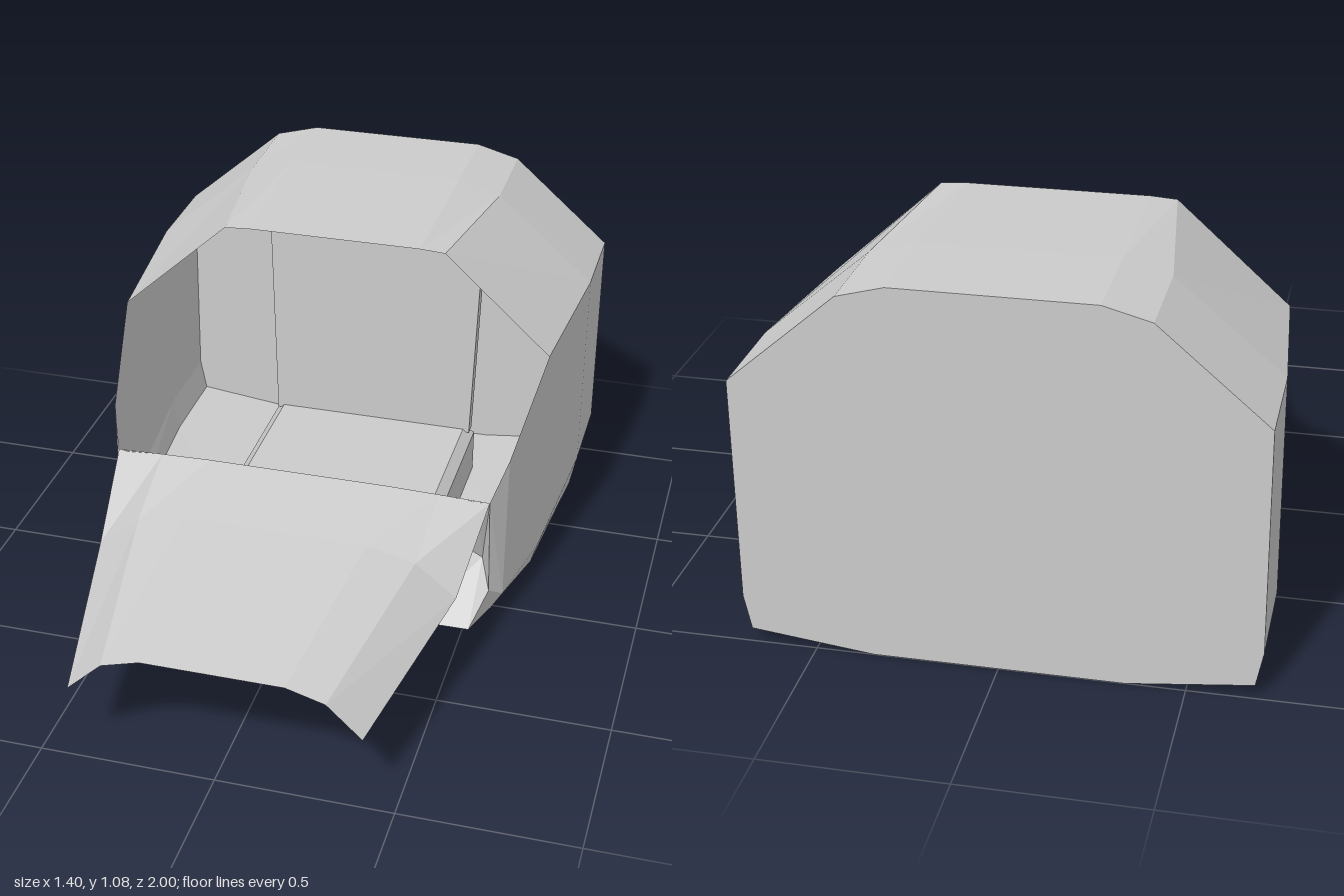
import * as THREE from 'three';

const material = new THREE.MeshStandardMaterial({ color: 0xcccccc, flatShading: true, side: THREE.DoubleSide });

// Flat-shaded surface through rows of [x, y, z] points
function sheet(name, rows) {
  const pos = [];
  for (let r = 0; r < rows.length - 1; r++) {
    for (let c = 0; c < rows[r].length - 1; c++) {
      const p = rows[r][c], q = rows[r][c + 1], s = rows[r + 1][c + 1], t = rows[r + 1][c];
      pos.push(...p, ...q, ...s, ...p, ...s, ...t);
    }
  }
  const geometry = new THREE.BufferGeometry();
  geometry.setAttribute('position', new THREE.Float32BufferAttribute(pos, 3));
  geometry.computeVertexNormals();
  const mesh = new THREE.Mesh(geometry, material);
  mesh.name = name;
  return mesh;
}

const flip = ([x, y, z]) => [-x, y, z];
const mirrorRow = (row) => row.map(flip).reverse();
// Full-width row, from -x to +x, out of its +x half
const fullRow = (half) => [...mirrorRow(half), ...half];
const atZ = (z, pts) => pts.map(([x, y]) => [x, y, z]);

export function createModel() {
  const model = new THREE.Group();
  model.name = 'cabin';

  // Hull side sections: floor edge, lower chamfer, sill, shoulder
  const rear = [[0.34, 0], [0.68, 0.04], [0.7, 0.14], [0.7, 0.78]];
  const sides = [
    atZ(-1, rear),
    atZ(-0.775, rear),
    atZ(-0.7, rear),
    atZ(-0.21, [[0.34, 0], [0.64, 0.04], [0.66, 0.11], [0.657, 0.763]]),
    atZ(0.07, [[0.34, 0.033], [0.57, 0.042], [0.603, 0.1], [0.603, 0.56]]),
    [[0.34, 0.052, 0.215], [0.53, 0.05, 0.21], [0.57, 0.14, 0.125], [0.565, 0.46, 0.15]],
  ];
  model.add(sheet('leftSide', sides));
  model.add(sheet('rightSide', sides.map(mirrorRow)));

  // Roof over the rear half
  const roof = [
    atZ(-1, [[0.27, 1.075], [0.4, 1.04], [0.7, 0.78]]),
    atZ(-0.7, [[0.27, 1.075], [0.4, 1.038], [0.7, 0.78]]),
    atZ(-0.21, [[0.26, 1.06], [0.335, 1.055], [0.657, 0.763]]),
  ];
  model.add(sheet('roof', roof.map((row) => fullRow(row).reverse())));

  // Flat back wall
  const outline = [...rear, [0.4, 1.04], [0.27, 1.075]];
  model.add(sheet('backWall', outline.map(([x, y]) => [[x, y, -1], [-x, y, -1]])));

  // Floor strips behind and in front of the underside recess
  const floorRow = (i) => fullRow([sides[i][0]]);
  model.add(sheet('rearFloor', [floorRow(0), floorRow(1)]));
  model.add(sheet('frontFloor', [floorRow(3), floorRow(4), floorRow(5)]));

  // Seat base, hollow from below
  const ring = (y, d) => {
    const x = 0.34 - d, a = -0.775 + d, b = -0.21 - d;
    return [[-x, y, b], [x, y, b], [x, y, a], [-x, y, a], [-x, y, b]];
  };
  model.add(sheet('seatBaseWalls', [ring(0, 0), ring(0.14, 0), ring(0.17, 0.03)]));
  const top = ring(0.17, 0.03);
  model.add(sheet('seatBaseTop', [[top[0], top[1]], [top[3], top[2]]]));

  // Seat back, slightly wider at the top
  const back = new THREE.BoxGeometry(0.66, 0.67, 0.045);
  const p = back.attributes.position;
  for (let i = 0; i < p.count; i++) if (p.getY(i) > 0) p.setX(i, Math.sign(p.getX(i)) * 0.35);
  back.computeVertexNormals();
  const seatBack = new THREE.Mesh(back, material);
  seatBack.name = 'seatBack';
  seatBack.position.set(0, 0.495, -0.753);
  model.add(seatBack);

  // Front wall, folded inward under the hood
  const lip = [[0.27, 0.487, 0.18], [0.42, 0.477, 0.17], [0.53, 0.463, 0.16], [0.565, 0.46, 0.15]];
  const frontWall = [
    [[0.27, 0.052, 0.215], [0.36, 0.052, 0.215], [0.53, 0.05, 0.21], [0.53, 0.05, 0.21]],
    [[0.27, 0.3, 0.03], [0.36, 0.28, 0.03], [0.53, 0.19, 0.03], [0.57, 0.14, 0.125]],
    lip,
  ];
  model.add(sheet('frontWall', frontWall.map(fullRow)));

  // Hood reaching forward, with drooping edges
  const hood = [
    [lip[0], lip[1], lip[3]],
    [[0.27, 0.435, 0.42], [0.41, 0.4, 0.42], [0.53, 0.305, 0.42]],
    [[0.2, 0.352, 1], [0.31, 0.32, 1], [0.41, 0.225, 1]],
  ];
  model.add(sheet('hood', hood.map((row) => fullRow(row).reverse())));

  return model;
}
